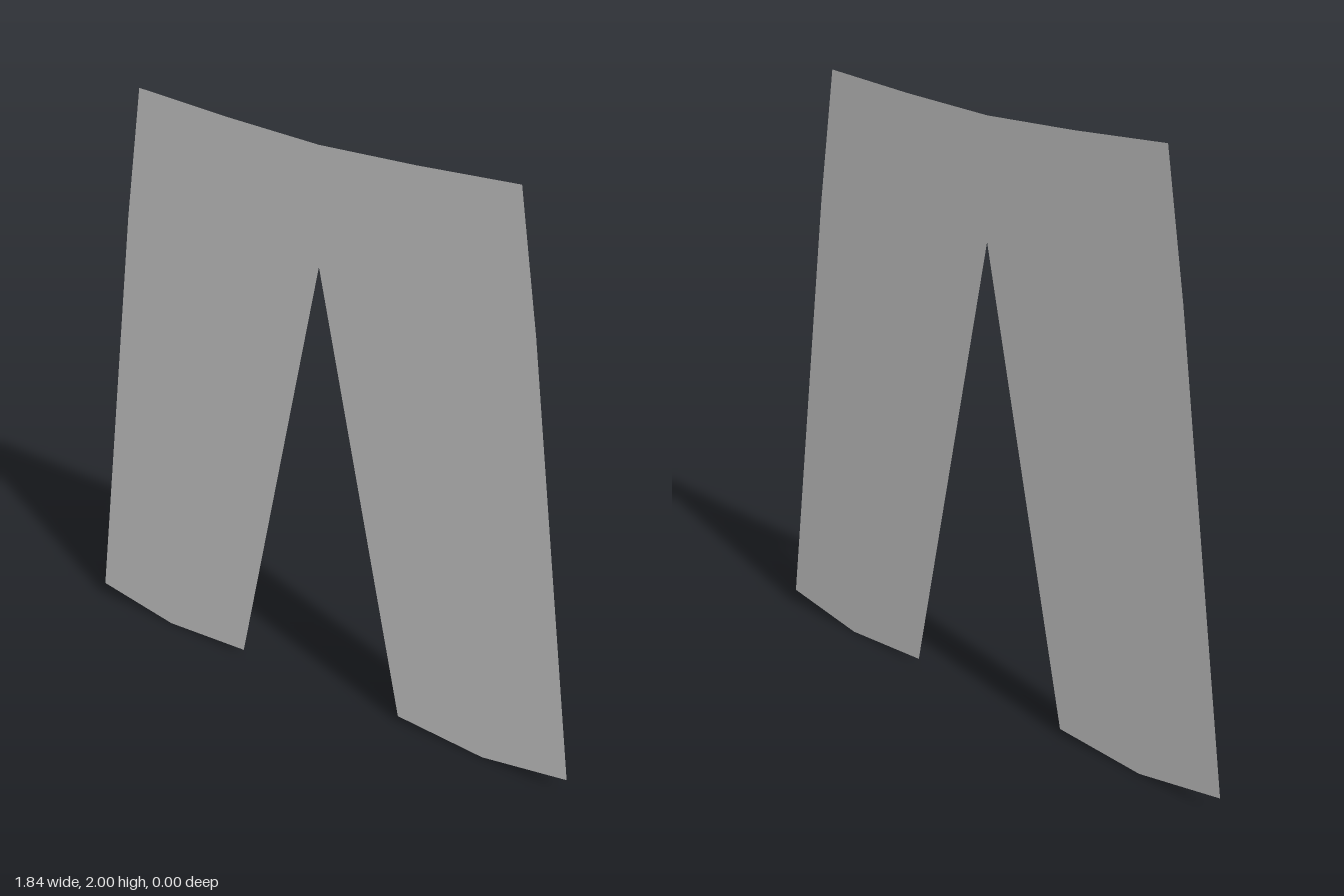
import * as THREE from 'three';

// Half outline of the trousers, from the waist centre round the leg to the crotch
const HALF = [
  [0, 1.966], [0.31, 1.979], [0.623, 2], [0.697, 1.57],
  [0.921, 0.056], [0.625, 0], [0.31, 0.021], [0, 1.59],
];

export function createModel() {
  const group = new THREE.Group();
  group.name = 'trousers';

  // Mirror the half outline to close the flat cut-out
  const mirrored = HALF.slice(1, -1).reverse().map(([x, y]) => [-x, y]);
  const outline = [...HALF, ...mirrored].map(([x, y]) => new THREE.Vector2(x, y));

  const panel = new THREE.Mesh(
    new THREE.ShapeGeometry(new THREE.Shape(outline)),
    new THREE.MeshStandardMaterial({ color: 0xcccccc, side: THREE.DoubleSide }),
  );
  panel.name = 'trouserPanel';
  group.add(panel);
  return group;
}
